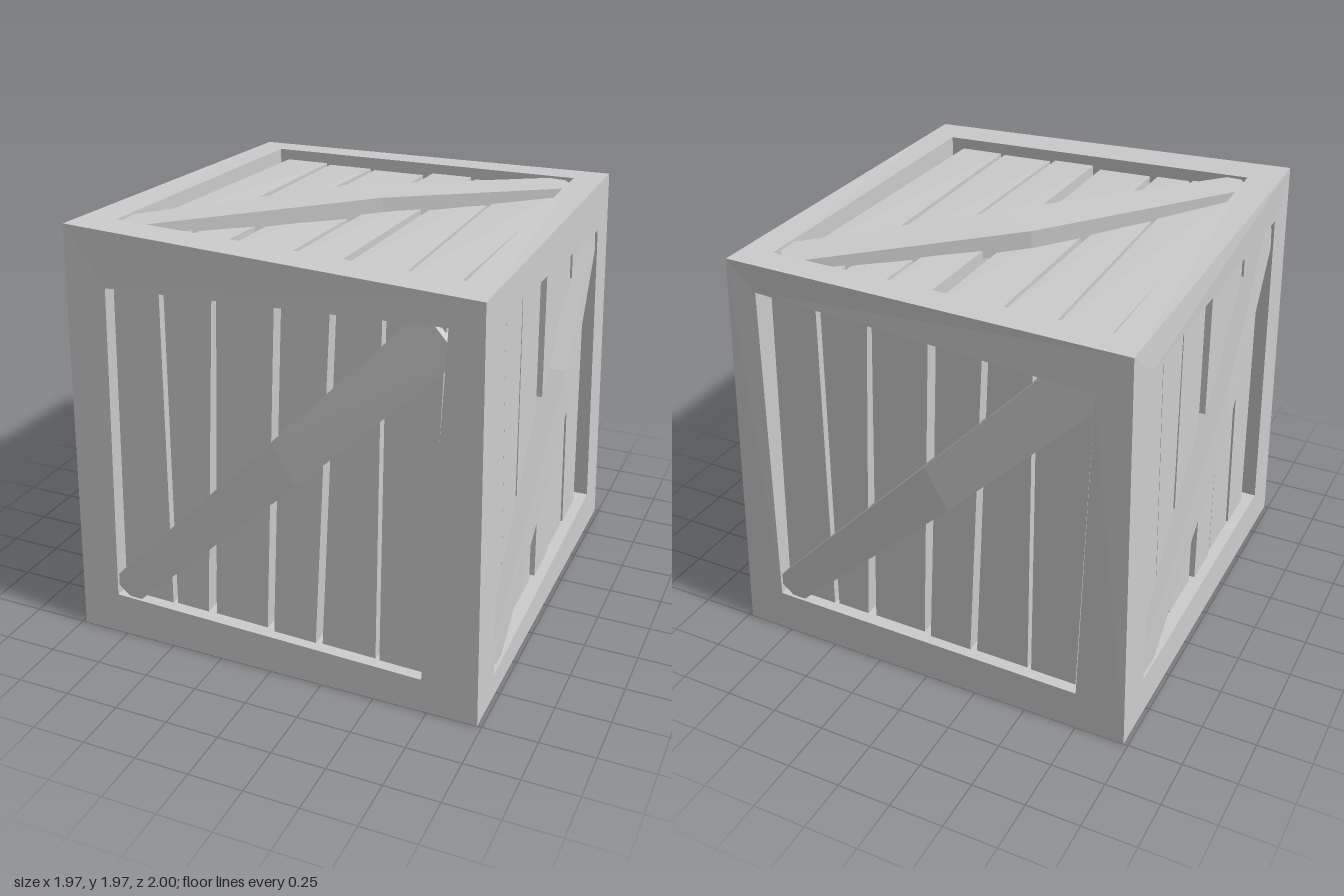
import * as THREE from 'three';

const V = (x, y, z) => new THREE.Vector3(x, y, z);
const X = V(1, 0, 0), Y = V(0, 1, 0), Z = V(0, 0, 1);
const neg = (v) => v.clone().negate();

// Shell corners in order -x+z, +x+z, +x-z, -x-z: the top rim is uneven
const base = [V(-0.98, 0, 1), V(0.98, 0, 1), V(0.98, 0, -1), V(-0.98, 0, -1)];
const rim = [V(-0.942, 1.97, 0.944), V(0.925, 1.9, 0.944), V(0.925, 1.9, -0.95), V(-0.925, 1.87, -0.945)];

// Distance of each outer surface from the centre
const lean = (bottom, drop) => (u, v) => bottom - drop * v / 1.9;
const lid = (u, v) => {
  const left = THREE.MathUtils.clamp((0.93 - u) / 1.86, 0, 1);
  const front = THREE.MathUtils.clamp((0.945 - v) / 1.89, 0, 1);
  return 1.9 + left * (0.1 * front - 0.03);
};

// Openings run counter-clockwise from lower left
const holeFront = [[-0.79, 0.2], [0.72, 0.16], [0.78, 1.775], [-0.755, 1.71]];
const holeRight = [[-0.775, 0.11], [0.8, 0.2], [0.765, 1.665], [-0.775, 1.77]];
const holeBack = [[-0.79, 0.2], [0.745, 0.19], [0.775, 1.68], [-0.79, 1.77]];
const holeLeft = [[-0.78, 0.19], [0.79, 0.2], [0.78, 1.76], [-0.77, 1.73]];
const holeTop = [[-0.79, -0.77], [0.785, -0.77], [0.785, 0.81], [-0.79, 0.81]];

// Braces are [left, right] points per section
const braceStraight = [[[-0.82, 0.27], [-0.7, 0.17]], [[0.02, 1.145], [0.13, 0.96]], [[0.67, 1.822], [0.83, 1.648]]];
const braceRight = [[[-0.79, 0.172], [-0.66, 0.09]], [[0.13, 1.19], [0.2, 0.99]], [[0.74, 1.697], [0.81, 1.605]]];
const braceLeft = [[[-0.82, 0.23], [-0.69, 0.13]], [[0.13, 1.19], [0.2, 0.99]], [[0.72, 1.8], [0.82, 1.66]]];
const braceTop = [[[-0.83, -0.678], [-0.73, -0.81]], [[-0.13, 0.18], [0.1, 0.05]], [[0.71, 0.85], [0.83, 0.7]]];

// bow is how far the middle of the brace stands proud of the border
const faces = [
  { name: 'front', r: X, up: Y, n: Z, surf: lean(1, 0.056), hole: holeFront, brace: braceStraight, bow: 0.004, outer: [base[0], base[1], rim[1], rim[0]] },
  { name: 'right', r: neg(Z), up: Y, n: X, surf: lean(0.98, 0.055), hole: holeRight, brace: braceRight, bow: 0.034, outer: [base[1], base[2], rim[2], rim[1]] },
  { name: 'back', r: neg(X), up: Y, n: neg(Z), surf: lean(1, 0.053), hole: holeBack, brace: braceStraight, bow: 0.014, outer: [base[2], base[3], rim[3], rim[2]] },
  { name: 'left', r: Z, up: Y, n: neg(X), surf: lean(0.98, 0.045), hole: holeLeft, brace: braceLeft, bow: 0.022, outer: [base[3], base[0], rim[0], rim[3]] },
  { name: 'top', r: X, up: neg(Z), n: Y, surf: lid, hole: holeTop, brace: braceTop, bow: 0.022, outer: rim },
];

// Planks as [bottom left, bottom right, top left, top right, depth of the front]
const planks = [
  [-0.775, -0.525, -0.745, -0.525, 0.052], [-0.505, -0.345, -0.505, -0.275, 0.058], [-0.305, -0.045, -0.255, 0.01, 0.062],
  [-0.005, 0.2, 0.062, 0.265, 0.048], [0.23, 0.485, 0.29, 0.485, 0.056], [0.505, 0.72, 0.505, 0.755, 0.052],
];

// Point on a face at (u, v), sunk by depth d
const place = (f, u, v, d) => V(0, 0, 0).addScaledVector(f.r, u).addScaledVector(f.up, v).addScaledVector(f.n, f.surf(u, v) - d);

const material = new THREE.MeshStandardMaterial({ color: 0xcccccc, flatShading: true });
const shellMaterial = new THREE.MeshStandardMaterial({ color: 0xcccccc, flatShading: true, side: THREE.DoubleSide });

function quadMesh(name, quads, mat) {
  const pts = quads.flatMap(([a, b, c, d]) => [a, b, c, a, c, d]);
  const geo = new THREE.BufferGeometry().setFromPoints(pts);
  geo.computeVertexNormals();
  const mesh = new THREE.Mesh(geo, mat);
  mesh.name = name;
  return mesh;
}

// Board lofted through sections { l, r, front, back }
function board(name, f, sections) {
  const rings = sections.map(({ l, r, front, back }) => [
    place(f, ...l, front), place(f, ...r, front), place(f, ...r, back), place(f, ...l, back),
  ]);
  const quads = [[...rings[0]].reverse(), rings[rings.length - 1]];
  for (let s = 0; s + 1 < rings.length; s++) {
    for (let i = 0; i < 4; i++) {
      const j = (i + 1) % 4;
      quads.push([rings[s][i], rings[s][j], rings[s + 1][j], rings[s + 1][i]]);
    }
  }
  return quadMesh(name, quads, material);
}

// Flat border, sunken opening walls and recessed panel
function frame(f) {
  const edge = f.hole.map(([u, v]) => place(f, u, v, 0));
  const floor = f.hole.map(([u, v]) => place(f, u, v, 0.135));
  const quads = [floor];
  for (let i = 0; i < 4; i++) {
    const j = (i + 1) % 4;
    quads.push([f.outer[i], f.outer[j], edge[j], edge[i]], [edge[i], edge[j], floor[j], floor[i]]);
  }
  return quadMesh(f.name + 'Frame', quads, shellMaterial);
}

export function createModel() {
  const crate = new THREE.Group();
  crate.name = 'crate';
  for (const f of faces) {
    const side = new THREE.Group();
    side.name = f.name + 'Side';
    side.add(frame(f));

    // Planks follow the slanted opening and run slightly past it
    const [bl, br, tr, tl] = f.hole;
    const onEdge = (a, b, u) => a[1] + (b[1] - a[1]) * (u - a[0]) / (b[0] - a[0]);
    planks.forEach(([b0, b1, t0, t1, front], i) => {
      const low = (u) => [u, onEdge(bl, br, u) - 0.035];
      const high = (u) => [u, onEdge(tl, tr, u) + 0.025];
      side.add(board('plank' + (i + 1), f, [
        { l: low(b0), r: low(b1), front, back: 0.13 },
        { l: high(t0), r: high(t1), front, back: 0.13 },
      ]));
    });

    // Diagonal brace, bowed outward in the middle
    side.add(board('brace', f, f.brace.map(([l, r], i) => (
      { l, r, front: i === 1 ? -f.bow : 0.014, back: 0.085 }
    ))));
    crate.add(side);
  }
  return crate;
}
